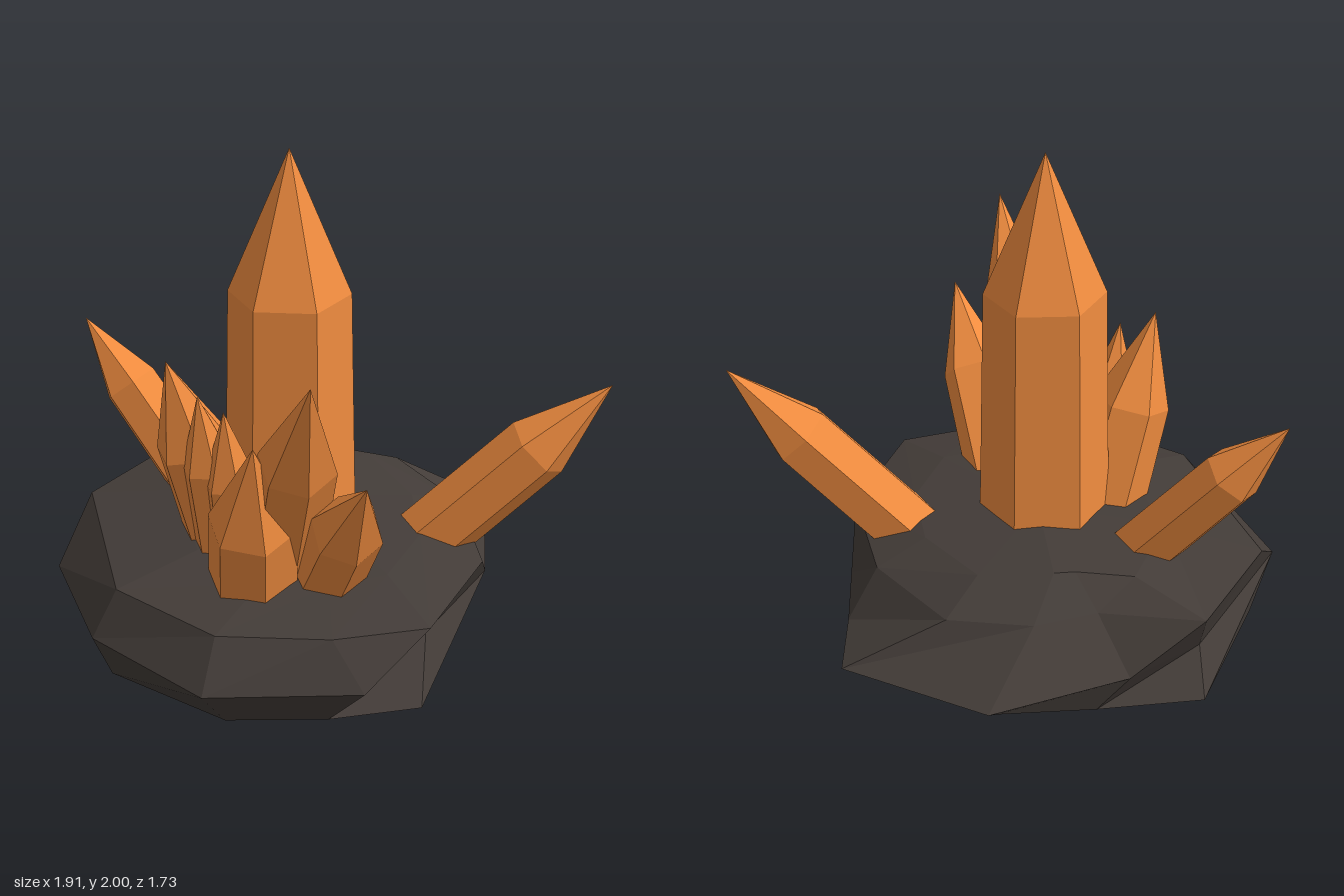
import * as THREE from 'three';

const crystalMaterial = new THREE.MeshStandardMaterial({ color: 0xf08c3f, flatShading: true });
const rockMaterial = new THREE.MeshStandardMaterial({ color: 0x433c38, flatShading: true });

// Six-sided crystal from base centre to tip; shoulder is the fraction where the point begins
function crystal(name, base, tip, radius, shoulder, taper = 0.93, yaw = 0) {
  const start = new THREE.Vector3(...base);
  const axis = new THREE.Vector3(...tip).sub(start);
  const h = axis.length();
  const profile = [[0, 0], [radius, 0], [radius * taper, h * shoulder], [0, h]];
  const geometry = new THREE.LatheGeometry(profile.map(p => new THREE.Vector2(...p)), 6, yaw);
  const mesh = new THREE.Mesh(geometry, crystalMaterial);
  mesh.name = name;
  mesh.position.copy(start);
  mesh.quaternion.setFromUnitVectors(new THREE.Vector3(0, 1, 0), axis.normalize());
  return mesh;
}

// Faceted boulder lofted through irregular outlines (x, z), listed back, right, front, left
function rock() {
  const lower = [[0, -0.76], [0.34, -0.64], [0.57, -0.36], [0.59, -0.03], [0.38, 0.34], [0.14, 0.73],
    [-0.2, 0.7], [-0.55, 0.6], [-0.87, 0.2], [-0.8, -0.45], [-0.38, -0.87]];
  const middle = [[-0.1, -0.82], [0.44, -0.81], [0.82, -0.36], [0.7, -0.09], [0.59, 0.19], [0.22, 0.54],
    [-0.12, 0.86], [-0.66, 0.71], [-0.94, 0.22], [-0.96, -0.33], [-0.42, -0.74]];
  const upper = [[-0.05, -0.65], [0.19, -0.63], [0.46, -0.47], [0.57, -0.06], [0.49, 0.4], [0.15, 0.77],
    [-0.2, 0.74], [-0.58, 0.6], [-0.84, 0.2], [-0.78, -0.54], [-0.38, -0.85]];
  // Brow of the domed top, with heights
  const brow = [[-0.02, 0.6, -0.52], [0.06, 0.61, -0.51], [0.3, 0.585, -0.38], [0.37, 0.555, -0.04],
    [0.3, 0.55, 0.25], [0.09, 0.54, 0.48], [-0.13, 0.53, 0.48], [-0.36, 0.535, 0.4],
    [-0.52, 0.555, 0.13], [-0.48, 0.565, -0.33], [-0.22, 0.575, -0.6]];
  const rings = [
    lower.map(() => [-0.12, 0, -0.04]),
    lower.map(([x, z]) => [x * 0.55 - 0.05, 0.035, z * 0.55]),
    lower.map(([x, z]) => [x, 0.14 - 0.025 * z, z]),
    middle.map(([x, z]) => [x, 0.31, z]),
    upper.map(([x, z]) => [x, 0.487 - 0.015 * z, z]),
    brow,
    brow.map(() => [-0.07, 0.605, -0.08]),
  ];
  const corners = [];
  const n = lower.length;
  for (let r = 0; r < rings.length - 1; r++) {
    for (let i = 0; i < n; i++) {
      const j = (i + 1) % n;
      const [a, b, c, d] = [rings[r][i], rings[r][j], rings[r + 1][i], rings[r + 1][j]];
      if (r > 0) corners.push(...a, ...c, ...b);
      if (r === 0) corners.push(...a, ...c, ...d);
      else if (r < rings.length - 2) corners.push(...b, ...c, ...d);
    }
  }
  const geometry = new THREE.BufferGeometry();
  geometry.setAttribute('position', new THREE.Float32BufferAttribute(corners, 3));
  geometry.computeVertexNormals();
  const mesh = new THREE.Mesh(geometry, rockMaterial);
  mesh.name = 'rockBase';
  return mesh;
}

export function createModel() {
  const model = new THREE.Group();
  model.name = 'crystalCluster';
  model.add(
    rock(),
    crystal('mainCrystal', [-0.12, 0.42, -0.03], [-0.12, 2, -0.01], 0.248, 0.66, 0.9, 0.15),
    // Outlying crystals
    crystal('leftCrystal', [0.34, 0.45, 0.15], [0.95, 1.15, 0.44], 0.133, 0.62, 0.97),
    crystal('backCrystal', [-0.345, 0.49, -0.36], [-0.73, 1.15, -0.74], 0.12, 0.64, 0.95),
    // Front cluster
    crystal('frontTallCrystal', [-0.22, 0.45, 0.17], [-0.3, 1.475, 0.82], 0.15, 0.62),
    crystal('frontLowCrystal', [-0.1, 0.46, 0.32], [-0.12, 1.105, 0.86], 0.14, 0.57),
    crystal('frontSideCrystal', [-0.36, 0.45, 0.3], [-0.42, 1.15, 0.55], 0.165, 0.5, 0.98),
    // Side cluster
    crystal('sideTallCrystal', [-0.36, 0.46, -0.03], [-0.59, 1.27, 0.02], 0.155, 0.57),
    crystal('sideSmallCrystal', [-0.4, 0.46, 0.09], [-0.51, 1.18, 0.15], 0.11, 0.6),
    crystal('sideInnerCrystal', [-0.36, 0.46, 0.16], [-0.44, 1.15, 0.24], 0.11, 0.58),
  );
  return model;
}
